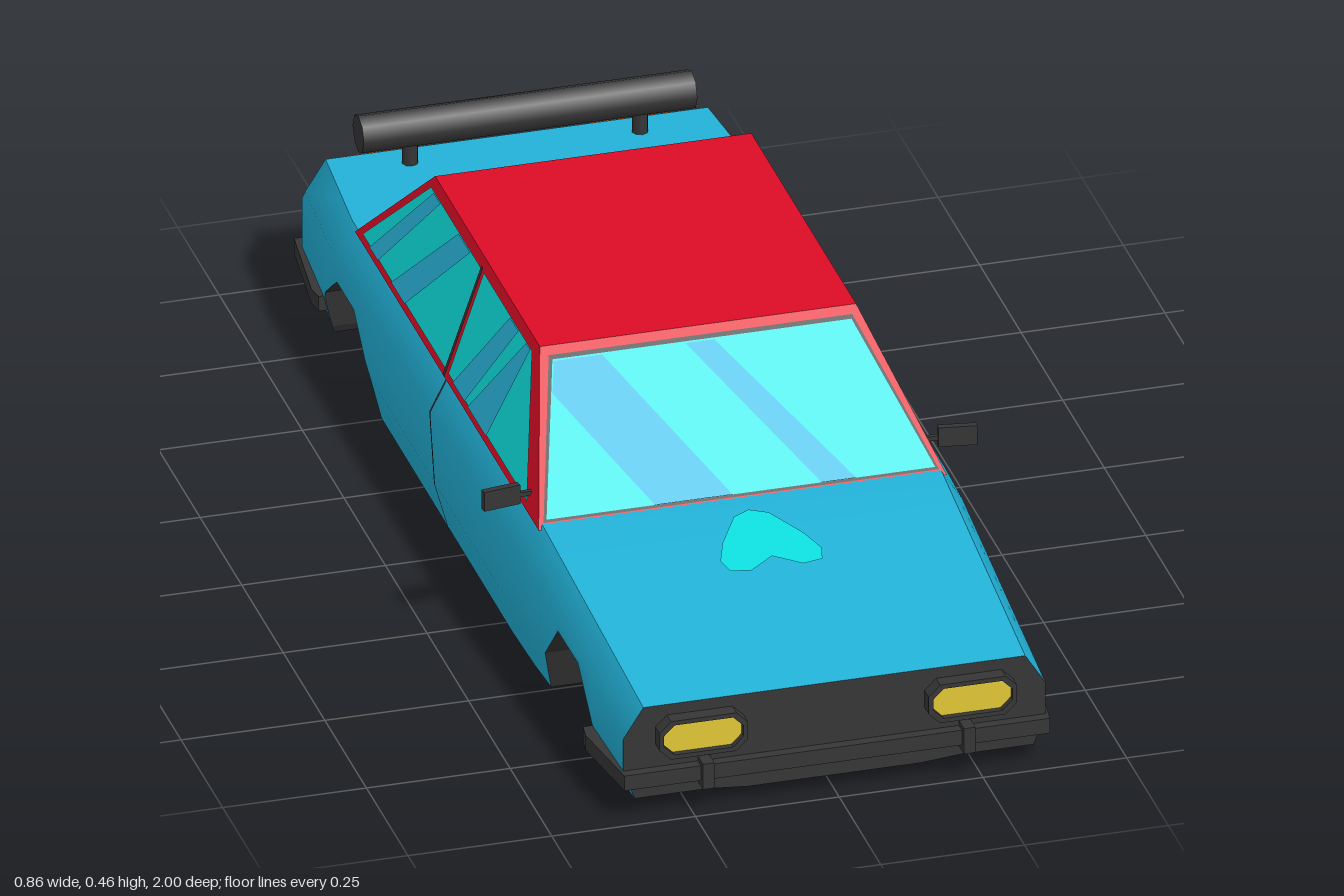
import * as THREE from 'three';
import { toCreasedNormals } from 'three/addons/utils/BufferGeometryUtils.js';
import { ConvexGeometry } from 'three/addons/geometries/ConvexGeometry.js';

const mat = (name, color) => Object.assign(new THREE.MeshStandardMaterial({ color }), { name });

// Piecewise linear value through [position, value] pairs
function lerpTable(table, p) {
  if (p <= table[0][0]) return table[0][1];
  for (let i = 1; i < table.length; i++) {
    const [a, va] = table[i - 1], [b, vb] = table[i];
    if (p <= b) return va + (vb - va) * (p - a) / (b - a);
  }
  return table[table.length - 1][1];
}

// Body rules along z: half width, deck height, floor height, wheel arch height
const WIDTH = [[-0.97, 0.365], [-0.72, 0.385], [0.3, 0.385], [0.97, 0.367]];
const TOP = [[-0.97, 0.235], [-0.94, 0.265], [0.42, 0.268], [0.97, 0.205]];
const FLOOR = [[-0.97, 0.04], [-0.78, 0.01], [0.42, 0.008], [0.97, 0.035]];
const ARCH = [[-0.8, 0], [-0.79, 0.03], [-0.775, 0.105], [-0.69, 0.168], [-0.59, 0.168], [-0.52, 0.105],
  [-0.49, 0], [0.51, 0], [0.54, 0.095], [0.61, 0.172], [0.72, 0.168], [0.8, 0.09], [0.81, 0]];

// Half cross-section of the painted side, from deck edge down to the lip
function sidePoints(z) {
  const w = lerpTable(WIDTH, z), top = lerpTable(TOP, z), floor = lerpTable(FLOOR, z);
  const lip = Math.max(floor, lerpTable(ARCH, z));
  const lipX = lip >= 0.09 ? w : w - 0.02 * (0.09 - lip) / (0.09 - floor);
  return [[w - 0.035, top], [w, top - 0.055], [w, Math.max(0.09, lip)], [lipX, lip]];
}
const mirrorHalf = (half, z) => [
  ...half.map(([x, y]) => [x, y, z]).reverse(), ...half.map(([x, y]) => [-x, y, z])];
const shellRow = z => mirrorHalf(sidePoints(z), z);
function underRow(z) {
  const [x, lip] = sidePoints(z)[3], floor = lerpTable(FLOOR, z);
  const half = [[x, lip], [0.22, lip], [0.22, floor], [0.15, floor - 0.006]];
  return mirrorHalf(half.map(([px, y]) => [-px, y]).reverse(), z).reverse().map(([px, y, pz]) => [-px, y, pz])
    .sort((a, b) => a[0] - b[0] || (a[0] < 0 ? b[1] - a[1] : a[1] - b[1]));
}

// Skin over rows of equal length
function loft(rows, crease) {
  const pos = [], index = [], n = rows[0].length;
  rows.forEach(r => r.forEach(p => pos.push(...p)));
  for (let i = 0; i < rows.length - 1; i++) for (let j = 0; j < n - 1; j++) {
    const a = i * n + j, b = a + 1, c = a + n, d = c + 1;
    index.push(a, b, c, b, d, c);
  }
  const g = new THREE.BufferGeometry();
  g.setAttribute('position', new THREE.Float32BufferAttribute(pos, 3));
  g.setIndex(index);
  return toCreasedNormals(g, crease);
}

const shapeOf = pts => new THREE.Shape(pts.map(p => new THREE.Vector2(...p)));

// Flat outline laid on a surface by a mapping rule
function plate(pts, map) {
  const g = new THREE.ShapeGeometry(shapeOf(pts)), p = g.attributes.position;
  for (let i = 0; i < p.count; i++) p.setXYZ(i, ...map(p.getX(i), p.getY(i)));
  g.computeVertexNormals();
  return g;
}

export function createModel() {
  const car = new THREE.Group();
  car.name = 'car';
  const blue = mat('body blue', 0x22b2d8), red = mat('roof red', 0xdc0c26), dark = mat('dark trim', 0x363636);
  const glass = mat('glass cyan', 0x0fe0e0), streak = mat('glass streak', 0x2ab8de);
  const yellow = mat('headlight yellow', 0xe2c936), orange = mat('tail light orange', 0xd2560f);
  const add = (name, geo, material, x = 0, y = 0, z = 0) => {
    const m = new THREE.Mesh(geo, material);
    m.name = name;
    m.position.set(x, y, z);
    car.add(m);
    return m;
  };
  const box = (w, h, d) => new THREE.BoxGeometry(w, h, d);

  // Body shell, underside with wheel wells, and end panels
  const stations = [...new Set([...WIDTH, ...TOP, ...FLOOR, ...ARCH].map(p => p[0]))].sort((a, b) => a - b);
  add('bodyShell', loft(stations.map(shellRow), 0.65), blue);
  add('underside', loft(stations.map(underRow), 0.3), dark);
  const ring = z => [...shellRow(z), ...underRow(z)];
  const hub = z => ring(z).map(() => [0, 0.12, z]);
  add('frontPanel', loft([ring(0.97), hub(0.97)], 0.3), dark);
  add('rearPanel', loft([hub(-0.97), ring(-0.97)], 0.3), blue);

  // Cabin
  const corners = [];
  for (const s of [-1, 1]) for (const [x, y, z] of [[0.355, 0.262, 0.42], [0.355, 0.262, -0.685],
    [0.275, 0.46, 0.15], [0.275, 0.46, -0.48]]) corners.push(new THREE.Vector3(s * x, y, z));
  add('cabin', new ConvexGeometry(corners), red);

  // Windows: trim, glass and streaks stacked as thin layers on the cabin faces
  const rise = y => (y - 0.262) / 0.198;
  const onFront = o => (x, y) => [x, y, 0.42 - 0.27 * rise(y) + o];
  const onRear = o => (x, y) => [-x, y, -0.685 + 0.205 * rise(y) - o];
  const onSide = (s, o) => (u, y) => [s * (0.355 - 0.08 * rise(y) + o), y, -s * u];

  add('windscreenSeal', plate([[-0.344, 0.27], [0.344, 0.27], [0.264, 0.45], [-0.264, 0.45]], onFront(0.002)), dark);
  add('windscreen', plate([[-0.338, 0.274], [0.338, 0.274], [0.26, 0.446], [-0.26, 0.446]], onFront(0.005)), glass);
  const frontStreaks = [
    [[-0.275, 0.41], [-0.259, 0.445], [-0.175, 0.445], [-0.015, 0.275], [-0.15, 0.275]],
    [[-0.03, 0.445], [0.02, 0.445], [0.2, 0.275], [0.14, 0.275]]];
  frontStreaks.forEach(p => add('windscreenStreak', plate(p, onFront(0.008)), streak));

  add('rearWindow', plate([[-0.335, 0.274], [0.335, 0.274], [0.258, 0.446], [-0.258, 0.446]], onRear(0.004)), glass);
  const rearStreaks = [
    [[-0.23, 0.445], [-0.16, 0.445], [0, 0.275], [-0.13, 0.275]],
    [[0.03, 0.445], [0.11, 0.445], [0.27, 0.275], [0.12, 0.275]]];
  rearStreaks.forEach(p => add('rearWindowStreak', plate(p, onRear(0.007)), streak));

  const sideGlass = [
    [[0.34, 0.276], [-0.132, 0.276], [-0.155, 0.445], [0.135, 0.445]],
    [[-0.15, 0.276], [-0.648, 0.276], [-0.472, 0.445], [-0.173, 0.445]]];
  const sideStreaks = [
    [[0.2, 0.445], [0.135, 0.445], [0.02, 0.276], [0.13, 0.276]].map(([z, y]) => [z - 0.03, y]).map(([z, y]) => [Math.min(z, 0.13), y]),
    [[0.06, 0.445], [0.01, 0.445], [-0.1, 0.276], [-0.03, 0.276]],
    [[-0.23, 0.445], [-0.3, 0.445], [-0.47, 0.276], [-0.39, 0.276]],
    [[-0.41, 0.445], [-0.45, 0.445], [-0.6, 0.276], [-0.55, 0.276]]];
  const pillar = [[-0.136, 0.268], [-0.146, 0.268], [-0.169, 0.452], [-0.159, 0.452]];

  for (const s of [-1, 1]) {
    const side = s > 0 ? 'left' : 'right';
    const along = pts => pts.map(([z, y]) => [-s * z, y]);
    sideGlass.forEach(p => add(side + 'SideWindow', plate(along(p), onSide(s, 0.003)), glass));
    sideStreaks.forEach(p => add(side + 'WindowStreak', plate(along(p), onSide(s, 0.005)), streak));
    add(side + 'DoorPillar', plate(along(pillar), onSide(s, 0.006)), dark);

    // Door seam running down the flank
    const seam = [0, 0.006].map(dz => sidePoints(-0.11).map(([x, y]) =>
      [s * (x + 0.002), y, -0.14 + 0.06 * (0.265 - y) / 0.255 + dz]));
    add(side + 'DoorSeam', loft(s > 0 ? seam.reverse() : seam, 0.65), dark);

    // Mirror on a stalk
    const mirror = add(side + 'Mirror', box(0.066, 0.036, 0.012), dark, s * 0.397, 0.29, 0.338);
    mirror.rotation.y = -s * 0.15;
    const mirrorGlass = add(side + 'MirrorGlass', box(0.056, 0.026, 0.004), glass, s * 0.398, 0.29, 0.331);
    mirrorGlass.rotation.y = -s * 0.15;
    add(side + 'MirrorStalk', box(0.035, 0.008, 0.008), dark, s * 0.353, 0.288, 0.333);

    // Headlight: chamfered bezel around a yellow lens
    const oct = (w, h, c) => [[-w, -h + c], [-w + c, -h], [w - c, -h], [w, -h + c],
      [w, h - c], [w - c, h], [-w + c, h], [-w, h - c]];
    const bezel = shapeOf(oct(0.077, 0.036, 0.02));
    bezel.holes.push(shapeOf(oct(0.069, 0.028, 0.018)));
    add(side + 'HeadlightBezel', new THREE.ExtrudeGeometry(bezel, { depth: 0.027, bevelEnabled: false }), dark, s * 0.234, 0.149, 0.968);
    add(side + 'Headlight', new THREE.ExtrudeGeometry(shapeOf(oct(0.0695, 0.0285, 0.018)),
      { depth: 0.016, bevelEnabled: false }), yellow, s * 0.234, 0.149, 0.968);

    // Tail light: two ribs with a dark groove
    add(side + 'TailLightUpper', box(0.14, 0.022, 0.034), orange, s * 0.21, 0.223, -0.981);
    add(side + 'TailLightGroove', box(0.136, 0.012, 0.02), dark, s * 0.21, 0.207, -0.976);
    add(side + 'TailLightLower', box(0.14, 0.018, 0.026), orange, s * 0.21, 0.192, -0.98);

    add(side + 'Overrider', box(0.02, 0.048, 0.03), dark, s * 0.227, 0.075, 0.985);
    add(side + 'BarPost', new THREE.CylinderGeometry(0.014, 0.014, 0.06, 8), dark, s * 0.2, 0.29, -0.89);
  }

  // Bumpers: a plan outline wrapped round each end
  const bumper = (tip, end) => {
    const half = [[0.37, tip], [0.392, end + 0.03 * Math.sign(tip)], [0.388, end], [0.36, end], [0.34, tip * 0.96]];
    const outline = [...half, ...half.map(([x, z]) => [-x, z]).reverse()].map(([x, z]) => [x, -z]);
    return new THREE.ExtrudeGeometry(shapeOf(outline), { depth: 0.028, bevelEnabled: false }).rotateX(-Math.PI / 2);
  };
  add('frontBumper', bumper(0.988, 0.8), dark, 0, 0.062, 0);
  add('rearBumper', bumper(-1, -0.79), dark, 0, 0.062, 0);

  // Round bar above the boot
  const bar = new THREE.CylinderGeometry(0.034, 0.034, 0.58, 8).rotateZ(Math.PI / 2);
  add('rearBar', bar, dark, 0, 0.332, -0.89);

  // Painted highlight on the bonnet
  const half = [[0, 0.455], [0.03, 0.47], [0.07, 0.54], [0.088, 0.59], [0.08, 0.622], [0.045, 0.628], [0, 0.595]];
  const mark = [...half, ...half.slice(1, -1).map(([x, z]) => [-x, z]).reverse()].map(([x, z]) => [x, -z]);
  add('bonnetHighlight', plate(mark, (x, u) => [x, lerpTable(TOP, -u) + 0.003, -u]), glass);

  return car;
}
